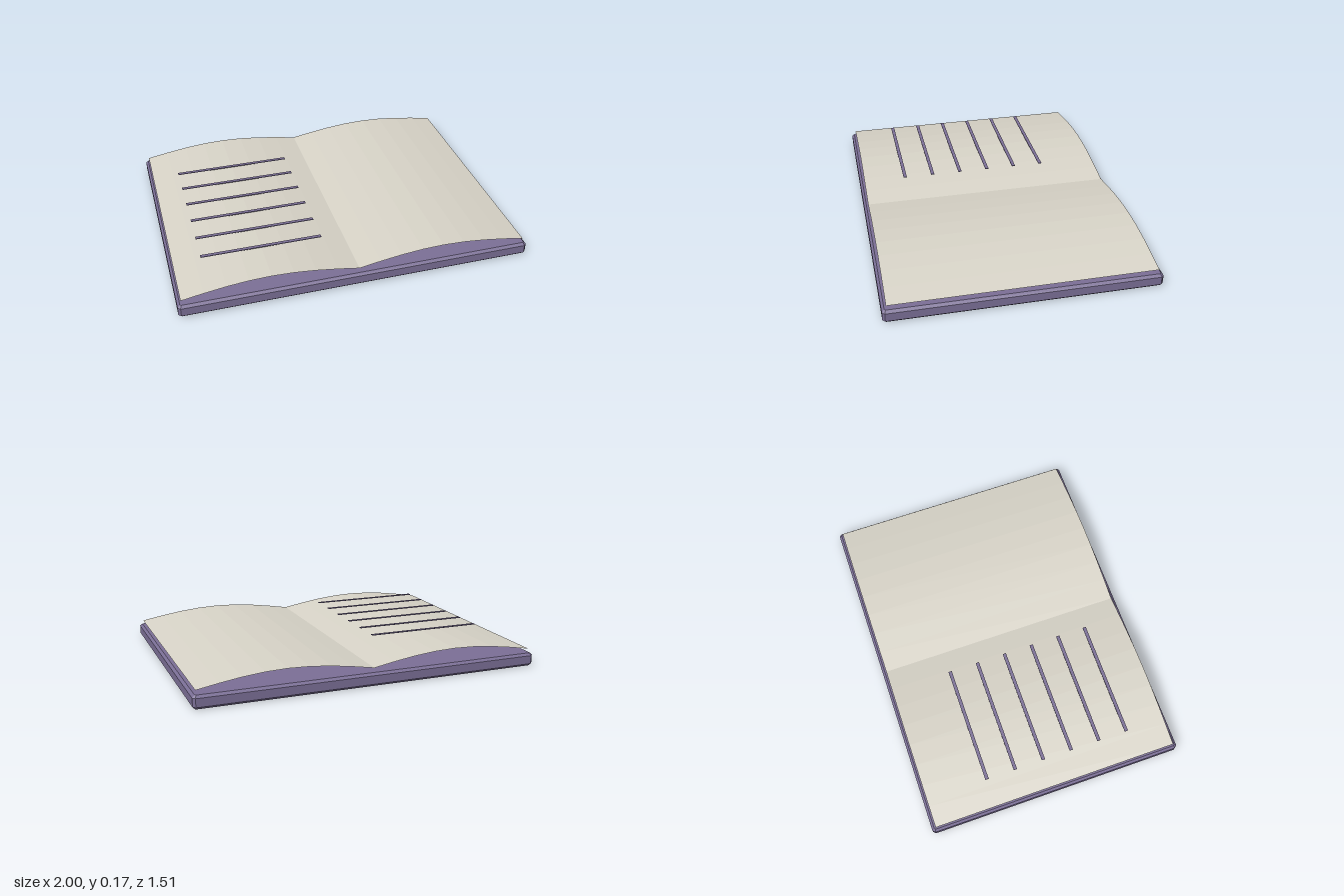
import * as THREE from 'three';

const SEGMENTS = 8; // facets across each page

function material(name, color, side = THREE.FrontSide) {
  const m = new THREE.MeshStandardMaterial({ color, side, flatShading: true });
  m.name = name;
  return m;
}

// Slab with chamfered edges, standing on y = 0
function chamferedSlab(width, height, depth, c) {
  const x = width / 2 - c, z = depth / 2 - c, k = 0.006;
  const shape = new THREE.Shape([
    [-x + k, -z], [x - k, -z], [x, -z + k], [x, z - k],
    [x - k, z], [-x + k, z], [-x, z - k], [-x, -z + k],
  ].map(([a, b]) => new THREE.Vector2(a, b)));
  const geometry = new THREE.ExtrudeGeometry(shape, {
    depth: height - 2 * c, bevelEnabled: true, bevelSegments: 1, bevelSize: c, bevelThickness: c,
  });
  return geometry.rotateX(-Math.PI / 2).translate(0, c, 0);
}

// Thin sheet that arches between the spine and the outer edge
function archedPage(width, depth, base, rise) {
  const geometry = new THREE.PlaneGeometry(width, depth, SEGMENTS, 1).rotateX(-Math.PI / 2);
  const p = geometry.attributes.position;
  for (let i = 0; i < p.count; i++) {
    p.setY(i, base + rise * Math.sin(Math.PI * (p.getX(i) / width + 0.5)));
  }
  geometry.computeVertexNormals();
  return geometry;
}

export function createModel() {
  const book = new THREE.Group();
  book.name = 'openBook';
  const purple = material('mutedPurple', 0x7b6f96);
  const paper = material('paper', 0xd8d4c8, THREE.DoubleSide);

  const add = (name, geometry, mat, x = 0, y = 0, z = 0) => {
    const mesh = new THREE.Mesh(geometry, mat);
    mesh.name = name;
    mesh.position.set(x, y, z);
    book.add(mesh);
  };

  add('cover', chamferedSlab(2, 0.076, 1.51, 0.014), purple);

  // Two facing pages
  const page = archedPage(0.98, 1.462, 0.098, 0.056);
  add('rightPage', page, paper, -0.49);
  add('leftPage', page, paper, 0.49);

  // Ruled lines over one page
  const line = new THREE.BoxGeometry(0.68, 0.004, 0.02);
  for (let i = 0; i < 6; i++) {
    add('ruledLine' + (i + 1), line, purple, -0.49, 0.172, -0.37 + i * 0.171);
  }
  return book;
}
